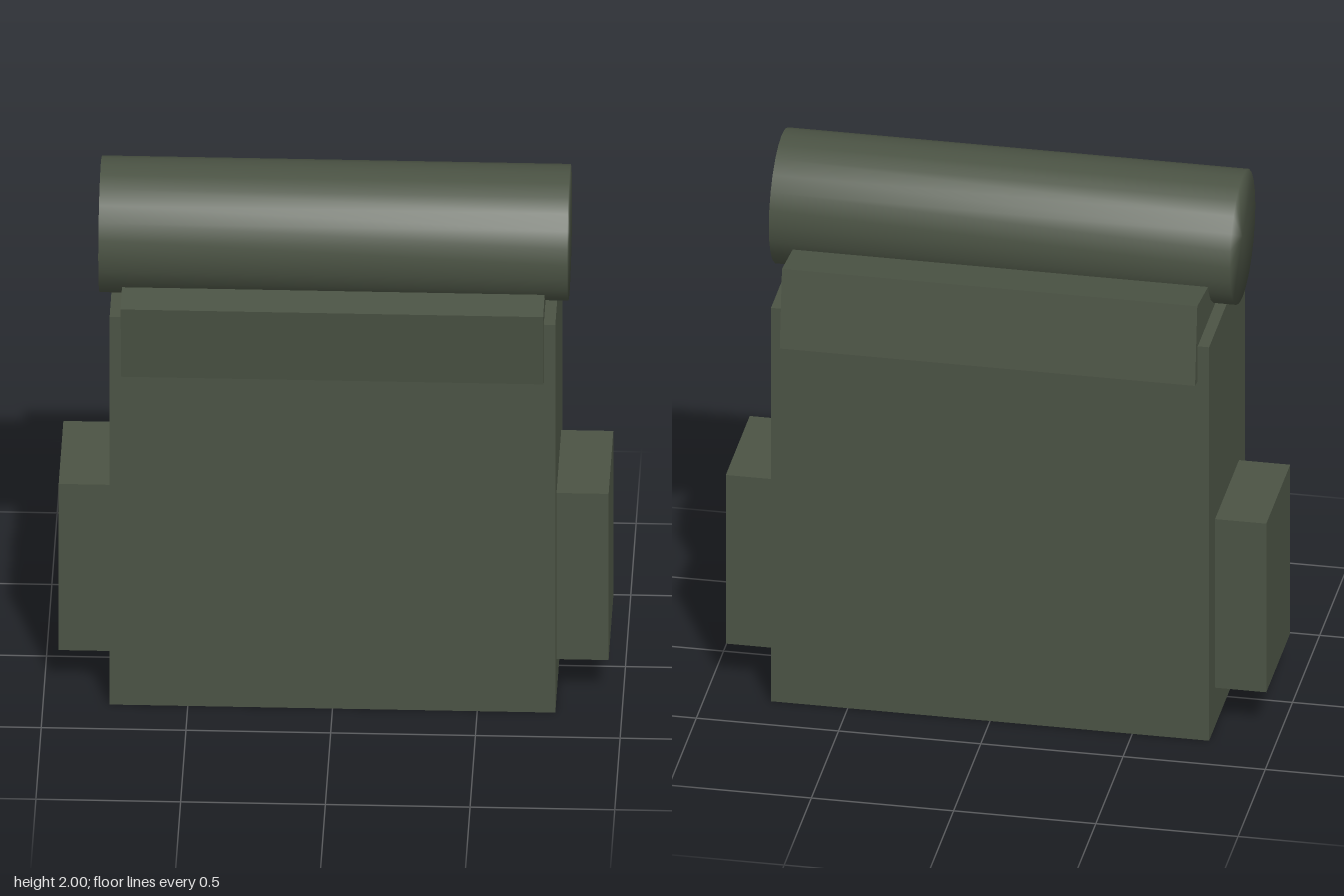
import * as THREE from 'three';
import { mergeVertices } from 'three/addons/utils/BufferGeometryUtils.js';

export function createModel() {
  const model = new THREE.Group();
  model.name = 'backpack';

  const canvas = new THREE.MeshStandardMaterial({ color: 0x4b5344 });
  canvas.name = 'olive canvas';

  const add = (name, geometry, x, y, z) => {
    const mesh = new THREE.Mesh(geometry, canvas);
    mesh.name = name;
    mesh.position.set(x, y, z);
    model.add(mesh);
    return mesh;
  };

  // Main bag
  add('bagBody', new THREE.BoxGeometry(1.54, 1.54, 0.66), 0, 0.77, 0);

  // Lid, tipped down towards the front
  const lid = add('lid', new THREE.BoxGeometry(1.46, 0.293, 0.727), 0, 1.505, 0.002);
  lid.rotation.x = 0.139;

  // Side pockets
  for (const side of [1, -1]) {
    add(side > 0 ? 'leftPocket' : 'rightPocket',
      new THREE.BoxGeometry(0.18, 0.66, 0.44), side * 0.86, 0.48, 0);
  }

  // Bedroll: vertices welded so shading runs softly over the end rims
  let roll = new THREE.CylinderGeometry(0.236, 0.236, 1.62, 24);
  roll.deleteAttribute('normal');
  roll.deleteAttribute('uv');
  roll = mergeVertices(roll, 1e-4);
  roll.computeVertexNormals();
  roll.rotateZ(Math.PI / 2);
  add('bedroll', roll, 0, 1.764, 0.075);

  return model;
}
